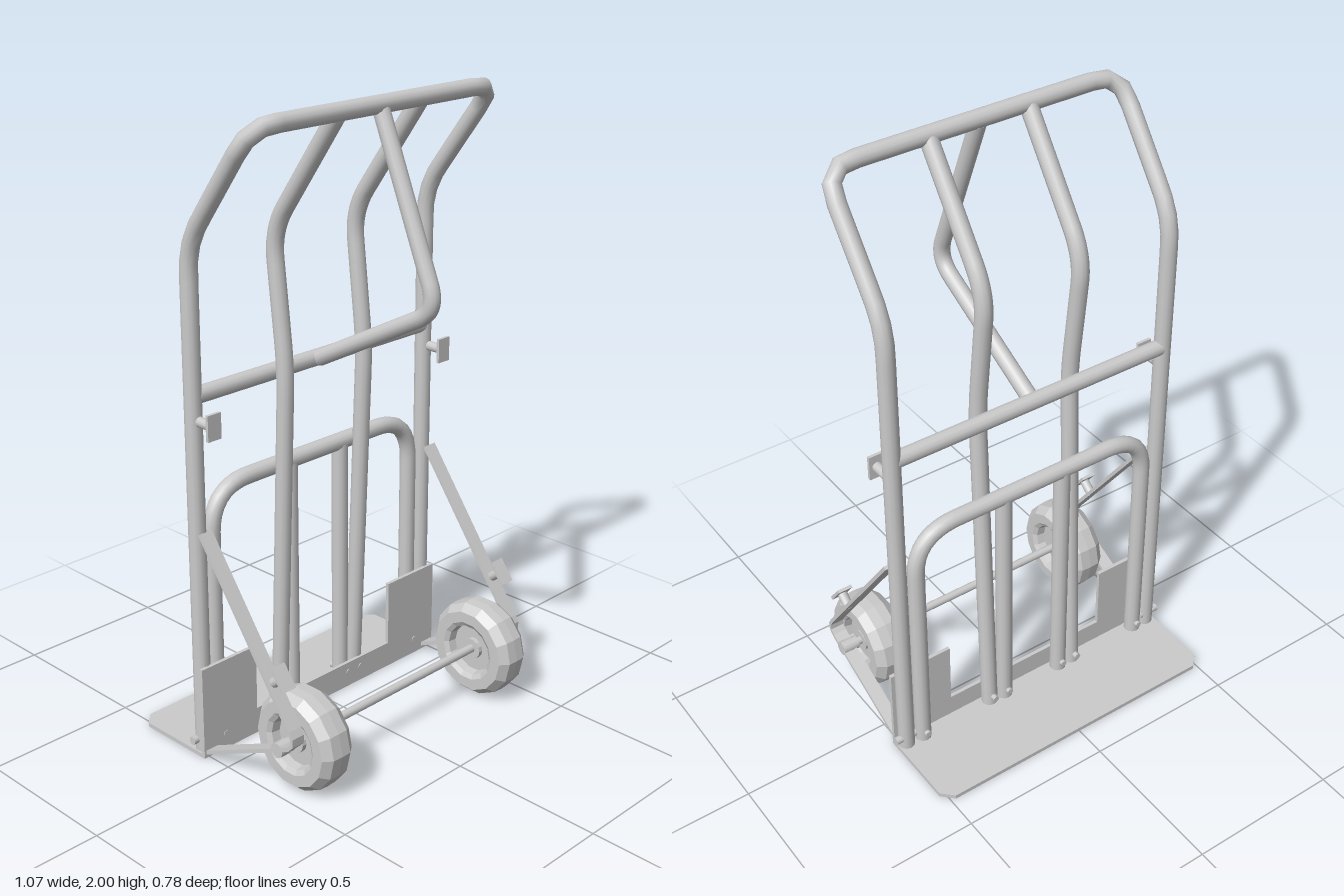
import * as THREE from 'three';

const V = (x, y, z) => new THREE.Vector3(x, y, z);
const grey = new THREE.MeshStandardMaterial({ color: 0xcccccc, side: THREE.DoubleSide });
const facet = new THREE.MeshStandardMaterial({ color: 0xcccccc, flatShading: true, side: THREE.DoubleSide });

// Polyline whose inner corners are rounded, each corner starting `cut` before the bend
function roundedPath(points, cut) {
  const path = new THREE.CurvePath();
  let from = points[0];
  for (let i = 1; i < points.length - 1; i++) {
    const p = points[i];
    const a = p.clone().add(points[i - 1].clone().sub(p).setLength(cut));
    const b = p.clone().add(points[i + 1].clone().sub(p).setLength(cut));
    path.add(new THREE.LineCurve3(from, a));
    path.add(new THREE.QuadraticBezierCurve3(a, p, b));
    from = b;
  }
  path.add(new THREE.LineCurve3(from, points[points.length - 1]));
  return path;
}

export function createModel() {
  const model = new THREE.Group();
  const add = (name, geometry, material = grey, parent = model) => {
    const mesh = new THREE.Mesh(geometry, material);
    mesh.name = name;
    parent.add(mesh);
    return mesh;
  };
  const tube = (name, points, cut, r = 0.027) =>
    add(name, new THREE.TubeGeometry(roundedPath(points, cut), points.length > 2 ? 90 : 1, r, 12));
  // Rod along x
  const rod = (name, x0, x1, y, z, r, parent = model) => {
    const mesh = add(name, new THREE.CylinderGeometry(r, r, Math.abs(x1 - x0), 12).rotateZ(Math.PI / 2), grey, parent);
    mesh.position.set((x0 + x1) / 2, y, z);
    return mesh;
  };

  // Main frame: posts bent forward to the top handle bar
  tube('mainFrame', [
    V(-0.49, 0.01, -0.12), V(-0.49, 1.62, -0.12), V(-0.49, 1.973, 0.145),
    V(0.49, 1.973, 0.145), V(0.49, 1.62, -0.12), V(0.49, 0.01, -0.12),
  ], 0.085);
  rod('crossBar', -0.48, 0.48, 1.17, -0.12, 0.026);

  // Bowed inner bars
  for (const s of [1, -1]) {
    tube('innerBar', [
      V(s * 0.167, 0.02, -0.122), V(s * 0.167, 1.18, -0.075),
      V(s * 0.167, 1.6, -0.122), V(s * 0.167, 1.965, 0.14),
    ], 0.09);
  }

  // Central grip loop
  tube('gripLoop', [V(0, 1.965, 0.145), V(0, 1.42, 0.37), V(0, 1.175, -0.1)], 0.08, 0.026);

  // Lower hoop and its two uprights
  tube('lowerHoop', [
    V(-0.43, 0.02, -0.125), V(-0.43, 0.865, -0.125), V(0.43, 0.865, -0.125), V(0.43, 0.02, -0.125),
  ], 0.15);
  for (const s of [1, -1]) tube('lowerUpright', [V(s * 0.11, 0.02, -0.125), V(s * 0.11, 0.86, -0.125)], 0);

  // Toe plate with clipped leading corners
  const toe = new THREE.Shape([
    [-0.52, 0.085], [0.52, 0.085], [0.52, 0.355], [0.483, 0.392], [-0.483, 0.392], [-0.52, 0.355],
  ].map(p => new THREE.Vector2(...p)));
  add('toePlate', new THREE.ExtrudeGeometry(toe, { depth: 0.014, bevelEnabled: false })
    .rotateX(-Math.PI / 2).translate(0, 0.003, 0), facet);

  // Back plate, low in the middle and tall at the sides
  const back = new THREE.Shape([
    [-0.52, 0.005], [0.52, 0.005], [0.52, 0.31], [0.3, 0.31],
    [0.3, 0.09], [-0.3, 0.09], [-0.3, 0.31], [-0.52, 0.31],
  ].map(p => new THREE.Vector2(...p)));
  add('backPlate', new THREE.ExtrudeGeometry(back, { depth: 0.012, bevelEnabled: false })
    .translate(0, 0, -0.096), facet);

  // Axle and wheels
  rod('axle', -0.5, 0.5, 0.167, 0.231, 0.014);
  const profile = [
    [0.014, -0.04], [0.035, -0.04], [0.035, -0.025], [0.08, -0.025], [0.085, -0.052], [0.1, -0.0615],
    [0.136, -0.0615], [0.158, -0.034], [0.16, 0], [0.158, 0.034], [0.136, 0.0615],
    [0.1, 0.0615], [0.085, 0.052], [0.08, 0.025], [0.035, 0.025], [0.035, 0.04], [0.014, 0.04],
  ].map(p => new THREE.Vector2(...p));
  const wheelGeometry = new THREE.LatheGeometry(profile, 14).rotateZ(Math.PI / 2);

  // Flat strap brace, wrapped around the axle end
  const line = roundedPath([V(-0.085, 0.755, 0), V(0.315, 0.207, 0), V(-0.1, 0.015, 0)], 0.05);
  const sides = [[], []];
  const N = 48;
  for (let i = 0; i <= N; i++) {
    const p = line.getPointAt(i / N), t = line.getTangentAt(i / N);
    sides[0].push(new THREE.Vector2(p.x - t.y * 0.006, p.y + t.x * 0.006));
    sides[1].unshift(new THREE.Vector2(p.x + t.y * 0.006, p.y - t.x * 0.006));
  }
  const strapGeometry = new THREE.ExtrudeGeometry(new THREE.Shape(sides.flat()), { depth: 0.046, bevelEnabled: false })
    .rotateY(-Math.PI / 2).translate(0.023, 0, 0);

  // Catch: short stem carrying a small plate, pointing along +z before tilting
  const catchPart = (name, x, y, z, tilt) => {
    const group = new THREE.Group();
    group.name = name;
    add('catchStem', new THREE.CylinderGeometry(0.016, 0.016, 0.06, 10).rotateX(Math.PI / 2), grey, group).position.z = 0.03;
    add('catchPlate', new THREE.BoxGeometry(0.05, 0.08, 0.01), facet, group).position.z = 0.06;
    group.position.set(x, y, z);
    group.rotation.x = tilt;
    model.add(group);
  };

  for (const s of [1, -1]) {
    add('wheel', wheelGeometry, facet).position.set(s * 0.399, 0.165, 0.231);
    rod('axleCollar', s * 0.455, s * 0.475, 0.167, 0.231, 0.022);
    rod('axleNut', s * 0.475, s * 0.512, 0.167, 0.231, 0.024);
    add('strapBrace', strapGeometry, facet).position.x = s * 0.49;
    catchPart('strapCatch', s * 0.49, 0.365, 0.192, -Math.atan2(0.6, 0.8));
    catchPart('frameCatch', s * 0.49, 1.1, -0.093, 0);
    rod('frameBolt', s * 0.46, s * 0.533, 0.055, -0.125, 0.013);
    // Bolts fixing the uprights to the back plate
    for (const x of [0.11, 0.167, 0.43]) {
      add('uprightBolt', new THREE.CylinderGeometry(0.011, 0.011, 0.08, 8).rotateX(Math.PI / 2))
        .position.set(s * x, 0.055, -0.122);
    }
  }
  return model;
}
